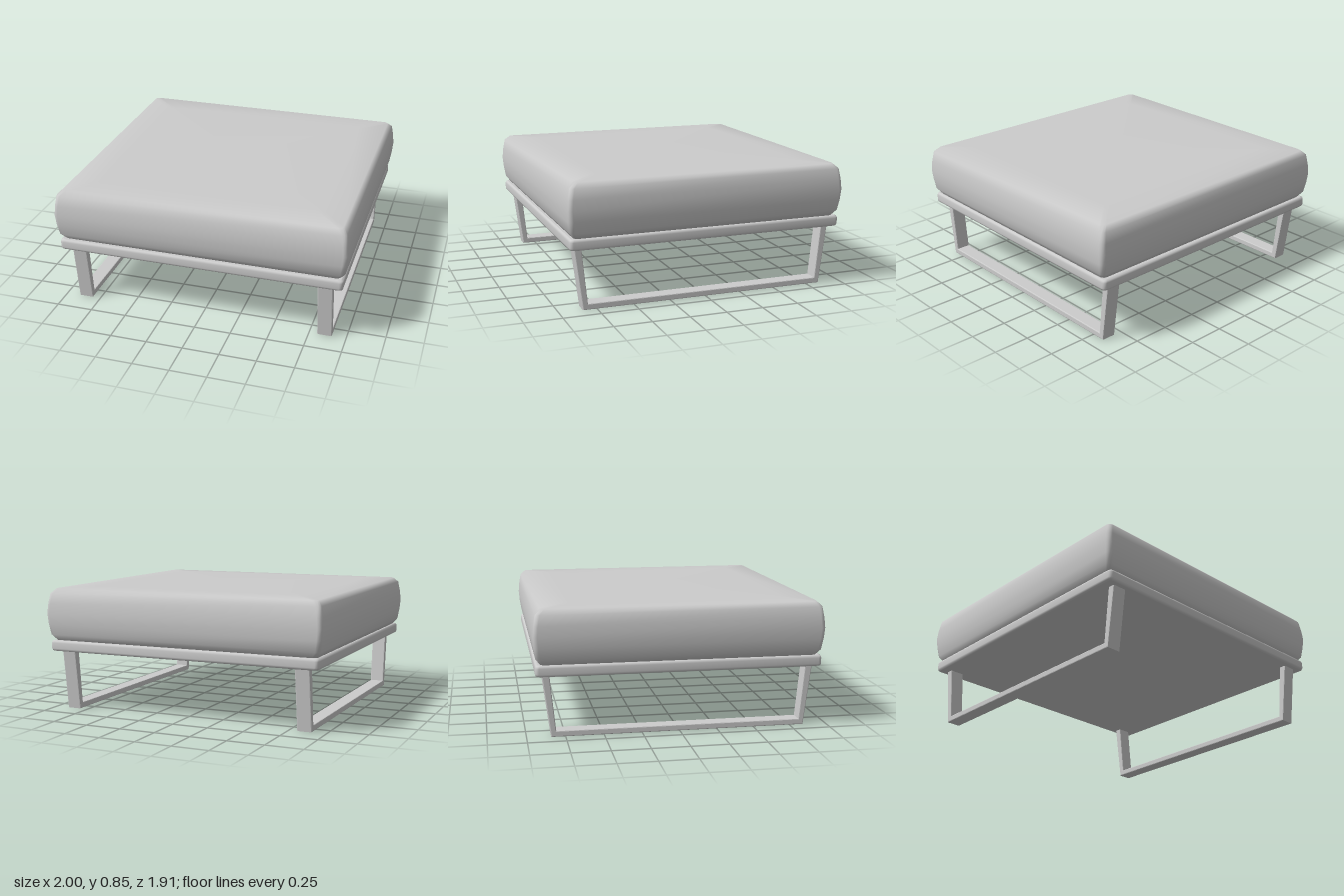
import * as THREE from 'three';

const material = new THREE.MeshStandardMaterial({ color: 0xcccccc });

// Stack of rounded-rectangle rings; each level is [inset, y], closed by flat caps.
// Repeating a level keeps a crease there.
function stackedPad(halfX, halfZ, radius, levels) {
  const positions = [], index = [];
  const perCorner = 4, count = perCorner * 4;
  const addRing = (hx, hz, r, y) => {
    for (let c = 0; c < 4; c++) {
      const sx = c === 0 || c === 3 ? 1 : -1;
      const sz = c < 2 ? 1 : -1;
      for (let k = 0; k < perCorner; k++) {
        const a = (c + k / (perCorner - 1)) * Math.PI / 2;
        positions.push(sx * (hx - r) + r * Math.cos(a), y, sz * (hz - r) + r * Math.sin(a));
      }
    }
  };
  addRing(0, 0, 0, levels[0][1]);
  for (const [inset, y] of levels) addRing(halfX - inset, halfZ - inset, radius, y);
  addRing(0, 0, 0, levels[levels.length - 1][1]);

  for (let j = 0; j <= levels.length; j++) {
    for (let i = 0; i < count; i++) {
      const n = (i + 1) % count;
      const a = j * count + i, b = j * count + n;
      const d = a + count, e = b + count;
      index.push(a, d, b, b, d, e);
    }
  }
  const geometry = new THREE.BufferGeometry();
  geometry.setAttribute('position', new THREE.Float32BufferAttribute(positions, 3));
  geometry.setIndex(index);
  geometry.computeVertexNormals();
  return geometry;
}

// Sled leg: a flat bar bent into a U whose uprights splay outwards
function sledLegGeometry() {
  const width = 0.1, bevel = 0.006;
  const outline = [
    [-0.9, 0.44], [-0.843, 0], [0.843, 0], [0.9, 0.44],
    [0.85, 0.44], [0.81, 0.04], [-0.81, 0.04], [-0.85, 0.44],
  ].map(([z, y]) => new THREE.Vector2(z, y));
  const geometry = new THREE.ExtrudeGeometry(new THREE.Shape(outline), {
    depth: width - 2 * bevel,
    bevelEnabled: true,
    bevelThickness: bevel,
    bevelSize: bevel,
    bevelOffset: -bevel,
    bevelSegments: 2,
  });
  geometry.translate(0, 0, -(width - 2 * bevel) / 2);
  geometry.rotateY(-Math.PI / 2);
  return geometry;
}

export function createModel() {
  const model = new THREE.Group();
  model.name = 'ottoman';
  const add = (name, geometry) => {
    const mesh = new THREE.Mesh(geometry, material);
    mesh.name = name;
    model.add(mesh);
    return mesh;
  };

  // Soft cushion with bulging sides and a slightly crowned top
  add('cushion', stackedPad(1, 0.953, 0.03, [
    [0.05, 0.482], [0.018, 0.525], [0.006, 0.6], [0, 0.67],
    [0.006, 0.74], [0.018, 0.81], [0.05, 0.843], [0.25, 0.85],
  ]));

  // Thin base board with rounded edges
  add('baseBoard', stackedPad(0.975, 0.94, 0.025, [
    [0.015, 0.412], [0.015, 0.412], [0.004, 0.417], [0, 0.43],
    [0, 0.468], [0.004, 0.481], [0.015, 0.486], [0.015, 0.486],
  ]));

  // Pair of sled legs
  const legGeometry = sledLegGeometry();
  for (const [name, side] of [['leftLeg', 1], ['rightLeg', -1]]) {
    add(name, legGeometry).position.x = side * 0.855;
  }
  return model;
}
